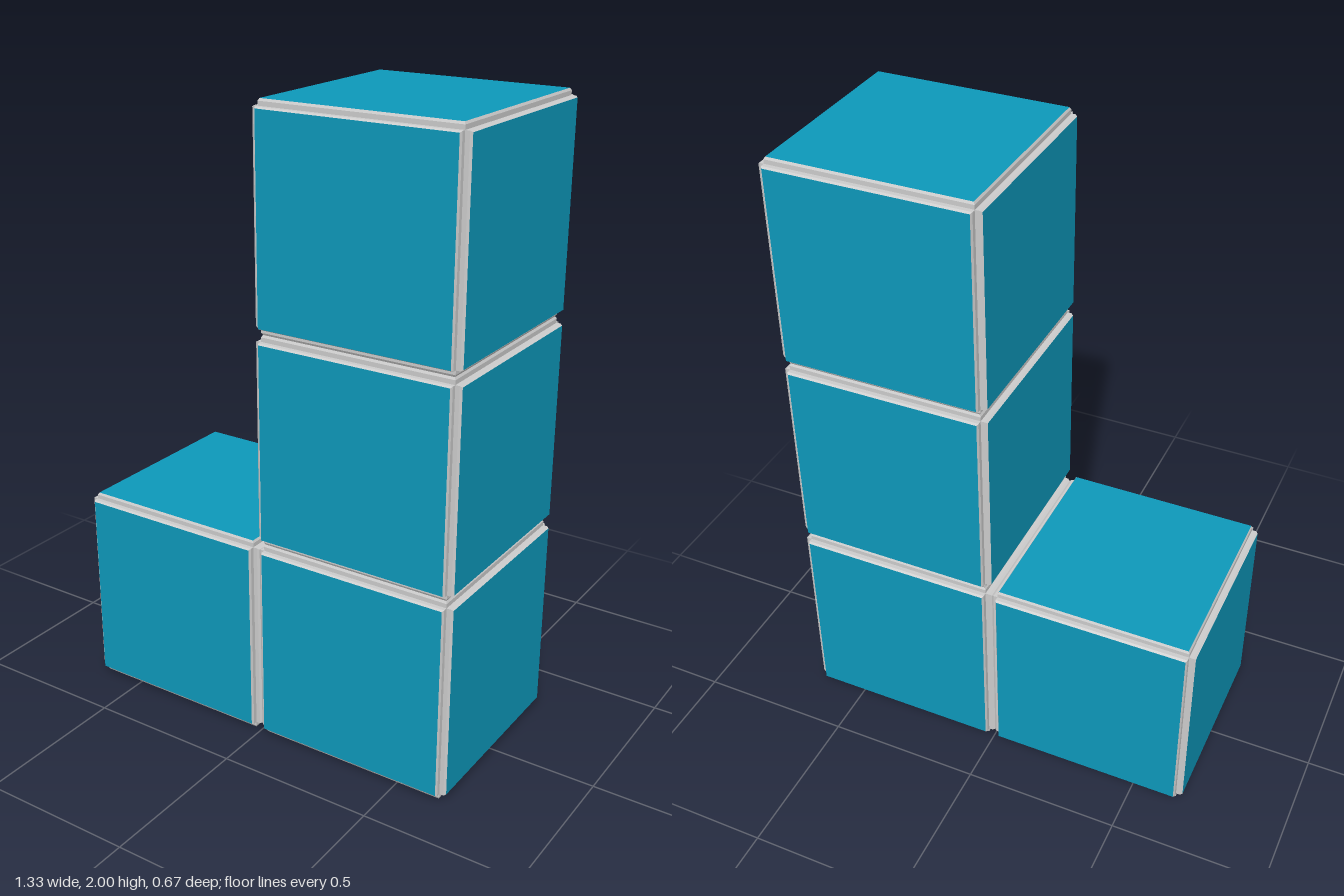
import * as THREE from 'three';
import { mergeGeometries } from 'three/addons/utils/BufferGeometryUtils.js';

const SIZE = 2 / 3;      // cube pitch
const HALF = SIZE / 2;   // outer face of a cube
const CORE = 0.313;      // floor of the notch along each edge
const FACE = 0.309;      // half width of a coloured face

// Square ring wall between two heights, with half widths given at each
function ring(bottomHalf, topHalf, y0, y1) {
  const g = new THREE.CylinderGeometry(topHalf * Math.SQRT2, bottomHalf * Math.SQRT2, y1 - y0, 4, 1, true);
  g.rotateY(Math.PI / 4);
  g.translate(0, (y0 + y1) / 2, 0);
  return g;
}

// Raised rim of one cube side, pointing up
function rimGeometry() {
  return mergeGeometries([
    ring(CORE, CORE, CORE, HALF - 0.007),
    ring(CORE, FACE, HALF - 0.007, HALF),
  ]);
}

// Coloured face of one cube side, pointing up
function faceGeometry() {
  const g = new THREE.PlaneGeometry(FACE * 2, FACE * 2);
  g.rotateX(-Math.PI / 2);
  g.translate(0, HALF, 0);
  return g;
}

// Copies a side onto all six directions of the cube
function onSixSides(make) {
  const turns = [[0, 0], [Math.PI, 0], [Math.PI / 2, 0], [-Math.PI / 2, 0], [0, Math.PI / 2], [0, -Math.PI / 2]];
  return mergeGeometries(turns.map(([x, z]) => make().rotateX(x).rotateZ(z)));
}

export function createModel() {
  const model = new THREE.Group();
  model.name = 'cubeStack';

  const grey = new THREE.MeshStandardMaterial({ color: 0xcccccc, flatShading: true });
  const blue = new THREE.MeshStandardMaterial({ color: 0x0d98ba });
  const rims = onSixSides(rimGeometry);
  const faces = onSixSides(faceGeometry);

  // Column of three cubes with one more at its foot: column, row
  const cells = [[0, 0], [1, 0], [1, 1], [1, 2]];
  for (const [column, row] of cells) {
    const cube = new THREE.Group();
    cube.name = column === 0 ? 'footCube' : `columnCube${row + 1}`;

    const edges = new THREE.Mesh(rims, grey);
    edges.name = 'edgeTrim';
    const panels = new THREE.Mesh(faces, blue);
    panels.name = 'facePanels';

    cube.add(edges, panels);
    cube.position.set((column - 0.5) * SIZE, (row + 0.5) * SIZE, 0);
    model.add(cube);
  }
  return model;
}
